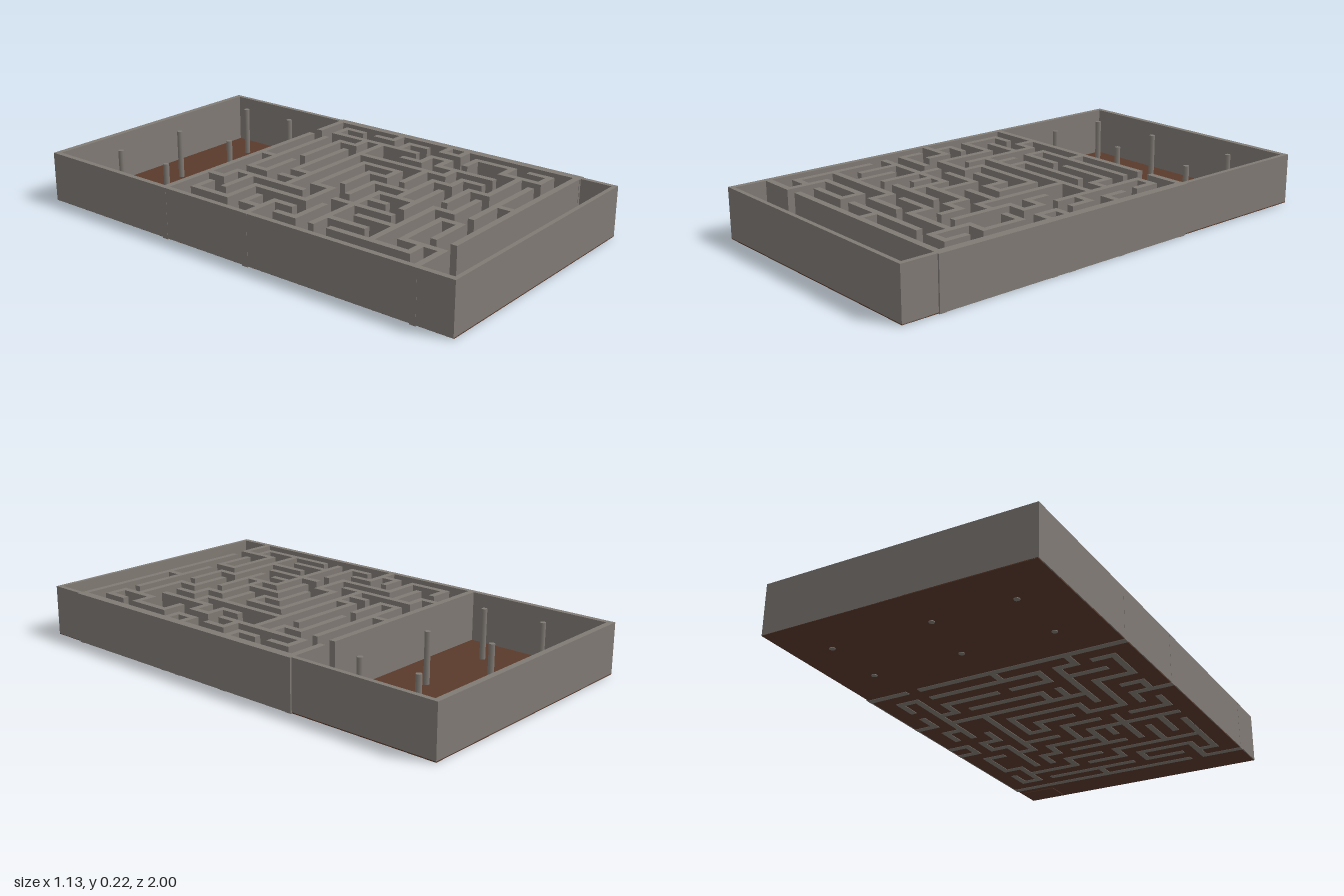
import * as THREE from 'three';

export function createModel() {
  const model = new THREE.Group();
  const stone = new THREE.MeshStandardMaterial({ color: 0x807a74 });
  stone.name = 'stone grey';
  const earth = new THREE.MeshStandardMaterial({ color: 0x5a3a2b });
  earth.name = 'earth brown';

  // Box given by its limits on each axis
  function block(name, mat, x0, x1, y0, y1, z0, z1, parent = model) {
    const mesh = new THREE.Mesh(new THREE.BoxGeometry(x1 - x0, y1 - y0, z1 - z0), mat);
    mesh.position.set((x0 + x1) / 2, (y0 + y1) / 2, (z0 + z1) / 2);
    mesh.name = name;
    parent.add(mesh);
    return mesh;
  }

  const top = 0.214;

  // Floor and the thin patch in the front corner
  block('floor', earth, -0.56, 0.56, 0.003, 0.007, -1, 1);
  block('floorPatch', earth, 0.39, 0.545, 0, 0.009, 0.88, 0.985);

  // Outer walls
  block('backWall', stone, -0.563, 0.56, 0.005, top, -1, -0.975);
  block('frontWall', stone, -0.563, 0.56, 0.005, top, 0.982, 1);
  block('rightWall', stone, -0.563, -0.54, 0.005, top, -1, 1);
  block('leftWall', stone, 0.54, 0.56, 0.005, top, -1, 1);
  block('mazeLeftWall', stone, 0.53, 0.567, 0.004, top, -0.36, 0.85);

  // Maze walls on a 14 x 14 grid: columns run along x, rows along z
  const gx = (c) => -0.55 + c * 0.0786;
  const gz = (r) => -0.345 + r * 0.0843;
  const half = 0.0135;
  const maze = new THREE.Group();
  maze.name = 'maze';
  model.add(maze);

  // Walls along x: for each row, pairs of first and last column
  const rows = [
    [[0, 11], [12, 14]],
    [[1, 2], [3, 4], [5, 11], [12, 13]],
    [[2, 4], [5, 7], [8, 11]],
    [[1, 3], [6, 10], [11, 12]],
    [[1, 2], [4, 12], [13, 14]],
    [[0, 2], [5, 9], [12, 13]],
    [[3, 5], [6, 8]],
    [[1, 3], [5, 7], [8, 9], [11, 12], [13, 14]],
    [[1, 6], [8, 10], [11, 12], [13, 14]],
    [[6, 9], [10, 11], [12, 13]],
    [[5, 8], [9, 10]],
    [[1, 6], [7, 9], [12, 13]],
    [[2, 5], [6, 8], [9, 12]],
    [[1, 2], [3, 5], [6, 11], [12, 13]],
    [[0, 2], [3, 14]],
  ];
  rows.forEach((spans, r) => spans.forEach(([a, b]) =>
    block('mazeWall', stone, gx(a) - half, gx(b) + half, 0.001, top, gz(r) - half, gz(r) + half, maze)));

  // Walls along z: for each column, pairs of first and last row
  const columns = [
    [],
    [[1, 3], [4, 5], [6, 7], [9, 13]],
    [[5, 6], [8, 10], [12, 14]],
    [[0, 1], [3, 6], [9, 11]],
    [[1, 5], [7, 10]],
    [[1, 2], [3, 4], [5, 6], [8, 9], [12, 13]],
    [[3, 4], [8, 10], [11, 12]],
    [[0, 1], [7, 9]],
    [[6, 7], [13, 14]],
    [[5, 7], [9, 10], [11, 12]],
    [[4, 9], [10, 11]],
    [[2, 3], [6, 7], [8, 11]],
    [[1, 4], [4, 6], [7, 8], [11, 13]],
    [[1, 2], [3, 4], [5, 6], [7, 8], [9, 11], [12, 13]],
  ];
  columns.forEach((spans, c) => spans.forEach(([a, b]) =>
    block('mazeWall', stone, gx(c) - half, gx(c) + half, 0.001, top, gz(a) - half, gz(b) + half, maze)));

  // Slim pillars in the back hall
  const pillarShape = new THREE.CylinderGeometry(0.012, 0.012, 0.217, 8);
  for (const [x, z] of [[-0.37, -0.8], [-0.03, -0.8], [0.4, -0.8], [-0.37, -0.53], [0.01, -0.54], [0.4, -0.54]]) {
    const pillar = new THREE.Mesh(pillarShape, stone);
    pillar.position.set(x, 0.1085, z);
    pillar.name = 'pillar';
    model.add(pillar);
  }

  return model;
}
